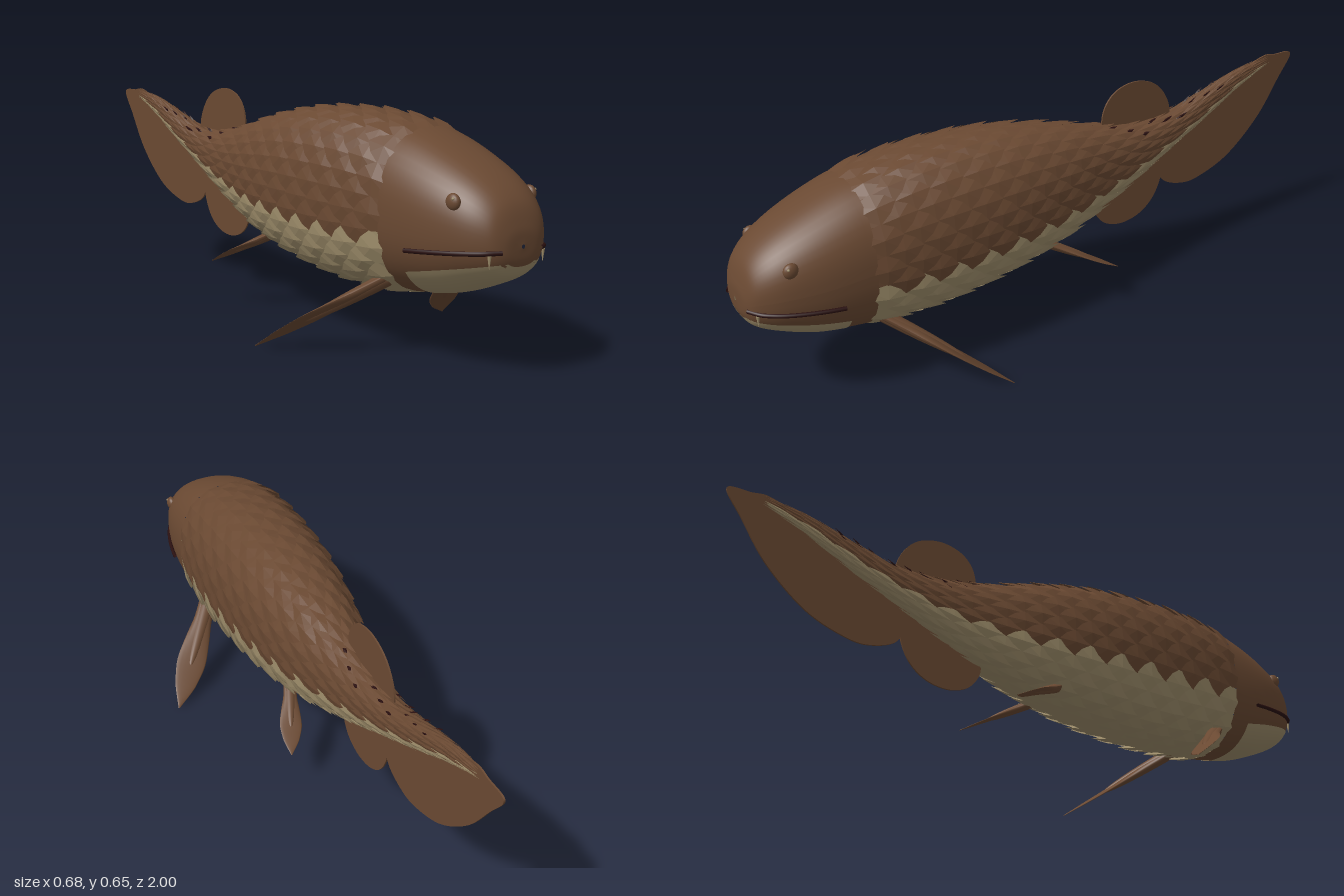
import * as THREE from 'three';

const mat = (name, color, side = THREE.FrontSide) => {
  const m = new THREE.MeshStandardMaterial({ color, side });
  m.name = name;
  return m;
};

// Body stations: z, top y, bottom y, half width
const stations = [
  [1.0, 0.345, 0.335, 0.005], [0.995, 0.39, 0.295, 0.06], [0.97, 0.45, 0.262, 0.1], [0.91, 0.502, 0.232, 0.137],
  [0.81, 0.553, 0.196, 0.165], [0.68, 0.6, 0.173, 0.18], [0.55, 0.622, 0.163, 0.184], [0.4, 0.63, 0.16, 0.181],
  [0.2, 0.62, 0.178, 0.165], [0, 0.583, 0.215, 0.132], [-0.18, 0.535, 0.27, 0.088], [-0.33, 0.508, 0.33, 0.06],
  [-0.48, 0.51, 0.4, 0.04], [-0.61, 0.545, 0.458, 0.028], [-0.77, 0.592, 0.537, 0.015], [-0.92, 0.611, 0.597, 0.004],
];
const curveOf = pick => new THREE.CatmullRomCurve3(stations.map(pick), false, 'catmullrom', 0.5);
const profile = curveOf(s => new THREE.Vector3(s[0], s[1], s[2]));
const widths = curveOf(s => new THREE.Vector3(s[3], 0, 0));

// Curve parameter at a given z
function paramAt(z) {
  let lo = 0, hi = 1;
  for (let i = 0; i < 30; i++) {
    const m = (lo + hi) / 2;
    if (profile.getPoint(m).x > z) lo = m; else hi = m;
  }
  return lo;
}

// Point on the body at parameter t and angle a (0 = left side, PI/2 = back), pushed out by off
function skin(t, a, off = 0) {
  const p = profile.getPoint(t), w = Math.max(0.002, widths.getPoint(t).x);
  const c = Math.cos(a), s = Math.sin(a), n = 2.35;
  const r = 1 / Math.pow(Math.abs(c) ** n + Math.abs(s) ** n, 1 / n);
  return new THREE.Vector3(c * (r * w + off), (p.y + p.z) / 2 + s * (r * (p.y - p.z) / 2 + off), p.x);
}

// Smooth surface from f(u, v)
function grid(f, nu, nv) {
  const pos = [], idx = [];
  for (let i = 0; i <= nu; i++) for (let j = 0; j <= nv; j++) pos.push(...f(i / nu, j / nv).toArray());
  for (let i = 0; i < nu; i++) for (let j = 0; j < nv; j++) {
    const a = i * (nv + 1) + j, b = a + nv + 1;
    idx.push(a, b, a + 1, b, b + 1, a + 1);
  }
  const g = new THREE.BufferGeometry();
  g.setAttribute('position', new THREE.Float32BufferAttribute(pos, 3));
  g.setIndex(idx);
  g.computeVertexNormals();
  return g;
}

// Pointed scale laid on the body: front edge tucked in, tip lifted
function addScale(out, z, a, length, half, lift) {
  const at = (u, v, h) => skin(paramAt(z - v * length), a + u * half, h).toArray();
  const fl = at(-0.8, 0, -0.006), fr = at(0.8, 0, -0.006), fc = at(0, 0, -0.004);
  const ml = at(-1, 0.5, lift * 0.2), mr = at(1, 0.5, lift * 0.2), mc = at(0, 0.5, lift * 0.65);
  const bl = at(-0.55, 0.8, lift * 0.7), br = at(0.55, 0.8, lift * 0.7), tip = at(0, 1, lift);
  for (const tri of [[fl, ml, fc], [fc, ml, mc], [fc, mc, fr], [fr, mc, mr],
    [ml, bl, mc], [bl, tip, mc], [mc, tip, br], [mc, br, mr]]) out.push(...tri.flat());
}
function facets(pos) {
  const g = new THREE.BufferGeometry();
  g.setAttribute('position', new THREE.Float32BufferAttribute(pos, 3));
  g.computeVertexNormals();
  return g;
}

export function createModel() {
  const model = new THREE.Group();
  model.name = 'fish';
  const brown = mat('brown skin', 0x6a4932);
  const brownScale = mat('brown scale', 0x6a4932, THREE.DoubleSide);
  const cream = mat('cream belly', 0xa08f6c, THREE.DoubleSide);
  const dark = mat('dark maroon', 0x2a1010, THREE.DoubleSide);
  const add = (name, geo, m, parent = model) => {
    const mesh = new THREE.Mesh(geo, m);
    mesh.name = name;
    parent.add(mesh);
    return mesh;
  };

  // Head and the core under the scales
  const neck = paramAt(0.67), tau = Math.PI * 2, side = 0.4;
  add('head', grid((u, v) => skin(u * neck, v * tau), 36, 48), brown);
  add('backCore', grid((u, v) => skin(neck + u * (1 - neck), -side + v * (Math.PI + 2 * side), -0.004), 50, 30), brown);
  add('bellyCore', grid((u, v) => skin(neck + u * (1 - neck), Math.PI + side + v * (Math.PI - 2 * side), -0.004), 50, 20), cream);

  // Pale lower jaw, bounded by a line sloping down towards the gills
  add('lowerJaw', grid((u, v) => {
    const z = 0.994 - 0.254 * u, t = paramAt(z), line = 0.302 - 0.05 * u;
    let lo = -Math.PI / 2, hi = 0;
    for (let i = 0; i < 24; i++) {
      const m = (lo + hi) / 2;
      if (skin(t, m).y < line) lo = m; else hi = m;
    }
    return skin(t, -Math.PI / 2 + (v * 2 - 1) * (lo + Math.PI / 2), 0.002);
  }, 24, 28), cream);

  // Overlapping scales in staggered rings
  const upper = [], lower = [], count = 16;
  for (let ring = 0, z = 0.7; z > -0.8; ring++, z -= 0.053) {
    const w = widths.getPoint(paramAt(z - 0.05)).x;
    const lift = 0.003 + 0.009 * Math.min(1, w / 0.12);
    for (let k = 0; k < count; k++) {
      const a = Math.PI / 2 + (k + (ring % 2) / 2) * tau / count;
      addScale(Math.sin(a) < -0.36 ? lower : upper, z, a, 0.112, Math.PI / count * 1.06, lift);
    }
  }
  add('backScales', facets(upper), brownScale);
  add('bellyScales', facets(lower), cream);

  // Dark flecks along the top of the tail
  const flecks = [];
  for (let i = 0; i < 9; i++) for (const s of [-1, 1])
    addScale(flecks, -0.2 - i * 0.055, Math.PI / 2 + s * (0.3 + 0.25 * (i % 3)), 0.045, 0.09, 0.012);
  add('tailFlecks', facets(flecks), dark);

  // Median fins as thin plates, outlined in (z, y)
  const medianFin = (name, pts) => {
    const shape = new THREE.Shape();
    shape.moveTo(...pts[0]);
    shape.splineThru(pts.slice(1).map(p => new THREE.Vector2(...p)));
    const g = new THREE.ExtrudeGeometry(shape, { depth: 0.005, bevelEnabled: false, curveSegments: 28 });
    g.translate(0, 0, -0.0025).rotateY(-Math.PI / 2);
    add(name, g, brown);
  };
  medianFin('dorsalFin', [[-0.24, 0.48], [-0.207, 0.53], [-0.218, 0.59], [-0.26, 0.632], [-0.33, 0.647],
    [-0.405, 0.626], [-0.455, 0.575], [-0.475, 0.51], [-0.44, 0.46]]);
  medianFin('analFin', [[-0.22, 0.33], [-0.182, 0.265], [-0.215, 0.2], [-0.285, 0.172], [-0.365, 0.185],
    [-0.425, 0.235], [-0.455, 0.32], [-0.44, 0.42]]);
  medianFin('tailFin', [[-0.46, 0.43], [-0.445, 0.34], [-0.46, 0.28], [-0.53, 0.248], [-0.61, 0.247],
    [-0.74, 0.295], [-0.865, 0.4], [-0.95, 0.52], [-1, 0.6], [-0.93, 0.61], [-0.87, 0.613], [-0.75, 0.57], [-0.6, 0.5]]);

  // Paired lobed fins: a fleshy stalk blending into a thin leaf
  const pairedFin = (name, root, tip, half, s) => {
    const r = new THREE.Vector3(...root), along = new THREE.Vector3(...tip).sub(r);
    const len = along.length(), A = along.clone().normalize();
    const W = new THREE.Vector3(1, 0, 0).addScaledVector(A, -A.x).normalize();
    const N = new THREE.Vector3().crossVectors(A, W);
    const leaf = new THREE.CatmullRomCurve3([[0.6, 0.4], [0.62, 0.42], [0.85, 0.3], [1, 0.14], [0.72, 0.09], [0.04, 0.04]]
      .map(([w, h]) => new THREE.Vector3(w, h, 0)));
    const g = new THREE.Group();
    g.name = name;
    const surface = grow => (u, v) => {
      const k = leaf.getPoint(u), a = v * tau;
      const e = grow ? Math.sqrt(Math.max(0, 1 - u * u)) : 1;
      const w = grow ? 0.5 * half * e : k.x * half, h = grow ? 0.4 * half * e : k.y * half * 0.7;
      return r.clone().addScaledVector(A, len * u * (grow ? 0.65 : 1))
        .addScaledVector(W, Math.cos(a) * w).addScaledVector(N, Math.sin(a) * h);
    };
    for (const [part, lobe] of [['finBlade', false], ['finLobe', true]]) {
      const geo = grid(surface(lobe), 20, 16);
      if (s < 0) geo.scale(-1, 1, 1);
      geo.computeVertexNormals();
      add(part, geo, brownScale, g);
    }
    model.add(g);
  };

  for (const s of [-1, 1]) {
    const label = s > 0 ? 'left' : 'right';
    pairedFin(label + 'PectoralFin', [0.105, 0.21, 0.63], [0.337, 0.002, 0.35], 0.048, s);
    pairedFin(label + 'PelvicFin', [0.07, 0.235, 0.05], [0.16, 0.13, -0.155], 0.034, s);

    // Mouth slit hugging the cheek
    const slit = [];
    for (let i = 0; i <= 10; i++) {
      const z = 0.994 - 0.229 * i / 10, t = paramAt(z), y = 0.33 - 0.018 * i / 10;
      const p = profile.getPoint(t);
      const a = Math.atan2((y - (p.y + p.z) / 2) / ((p.y - p.z) / 2), 1);
      const q = skin(t, 0);
      slit.push(new THREE.Vector3(s * (q.x * Math.cos(a * 0.3) + 0.001), y, z));
    }
    add(label + 'Mouth', new THREE.TubeGeometry(new THREE.CatmullRomCurve3(slit), 24, 0.006, 8), dark);

    // Small fang below the slit
    const fang = add(label + 'Fang', new THREE.ConeGeometry(0.005, 0.035, 8), cream);
    fang.position.set(s * 0.09, 0.305, 0.978);
    fang.rotation.x = Math.PI;

    // Eye bulging from the head with a tiny glint
    const eye = add(label + 'Eye', new THREE.SphereGeometry(0.022, 20, 14), brown);
    const te = paramAt(0.89);
    let ae = 0;
    while (ae < 1.4 && skin(te, ae).y < 0.445) ae += 0.01;
    const e = skin(te, ae);
    eye.position.set(s * (e.x - 0.002), 0.445, 0.89);
    eye.scale.set(0.65, 1, 1);
    const glint = add(label + 'EyeGlint', new THREE.SphereGeometry(0.004, 8, 6), cream);
    glint.position.set(s * (e.x + 0.008), 0.455, 0.9);
  }
  return model;
}
